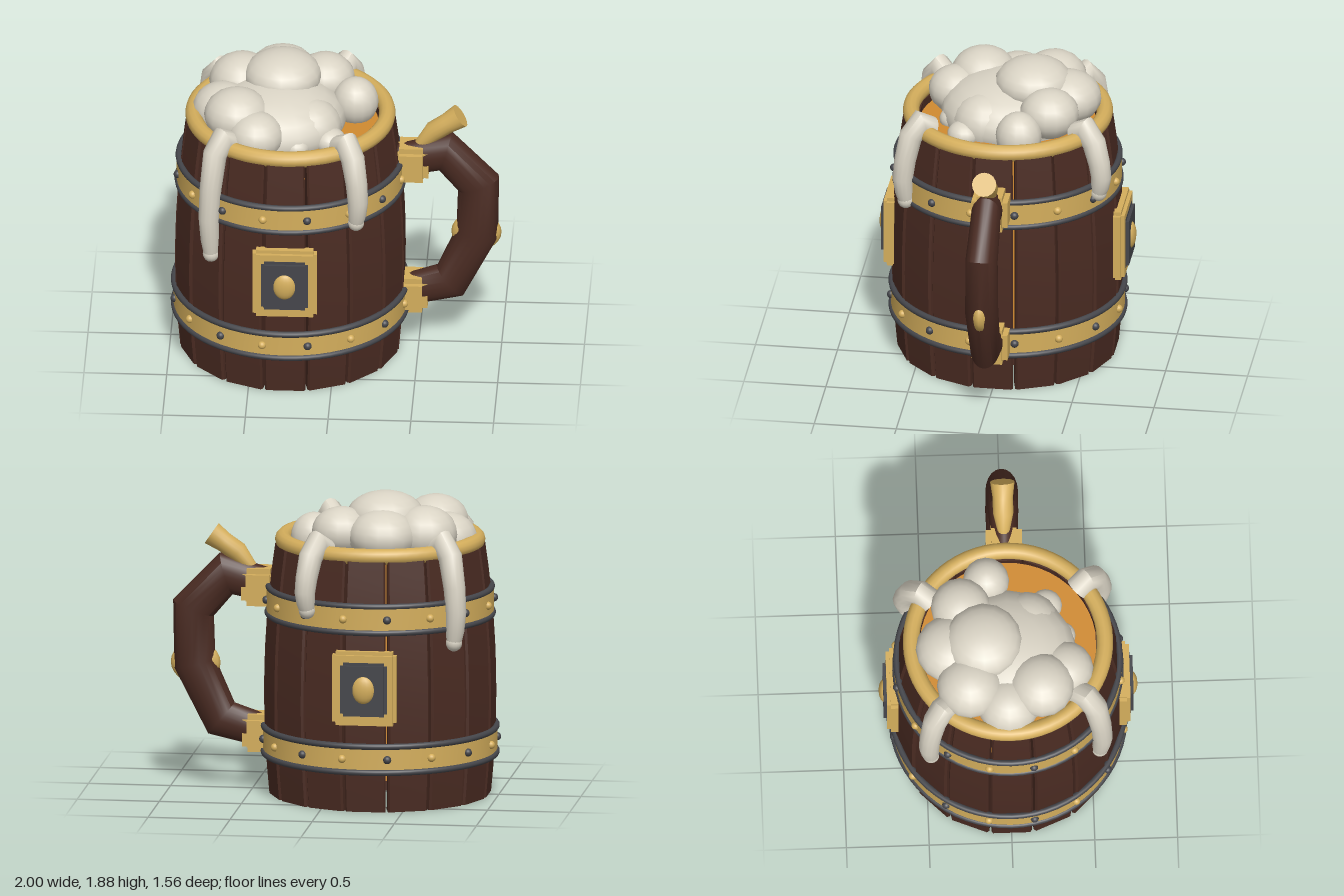
import * as THREE from 'three';
import { toCreasedNormals } from 'three/addons/utils/BufferGeometryUtils.js';

const material = (name, color, extra = {}) => {
  const m = new THREE.MeshStandardMaterial({ color, ...extra });
  m.name = name;
  return m;
};

// Outer radius of the barrel at height y
const barrelRadius = (y) => 0.66 + 0.1005 * y - 0.0806 * y * y;

// Mitred tube along points [x, y, inPlaneRadius, sideRadius] in the XY plane
function loft(points, sides = 18, crease = 0.6) {
  const pos = [], index = [];
  const dir = (a, b) => new THREE.Vector2(b[0] - a[0], b[1] - a[1]).normalize();
  const last = points.length - 1;
  points.forEach((p, i) => {
    const before = dir(points[Math.max(i - 1, 0)], points[Math.max(i, 1)]);
    const after = dir(points[Math.min(i, last - 1)], points[Math.min(i + 1, last)]);
    const t = before.clone().add(after).normalize();
    const miter = 1 / t.dot(before);
    for (let j = 0; j < sides; j++) {
      const a = (j / sides) * Math.PI * 2;
      const n = Math.cos(a) * p[2] * miter;
      pos.push(p[0] - t.y * n, p[1] + t.x * n, Math.sin(a) * (p[3] ?? p[2]));
    }
  });
  pos.push(points[0][0], points[0][1], 0, points[last][0], points[last][1], 0);
  const start = points.length * sides;
  for (let j = 0; j < sides; j++) {
    const k = (j + 1) % sides;
    for (let i = 0; i < last; i++) {
      const a = i * sides, b = a + sides;
      index.push(a + j, a + k, b + k, a + j, b + k, b + j);
    }
    index.push(start, k, j, start + 1, last * sides + j, last * sides + k);
  }
  const g = new THREE.BufferGeometry();
  g.setAttribute('position', new THREE.Float32BufferAttribute(pos, 3));
  g.setIndex(index);
  return toCreasedNormals(g, crease);
}

// One plank: chamfered section, bulged to follow the barrel
function staveGeometry() {
  const R = 0.69, inner = 0.585, c = 0.014;
  const half = (r) => r * Math.tan(Math.PI / 16) - 0.006;
  const w = half(R), v = half(inner);
  const shape = new THREE.Shape([
    [-v, inner], [v, inner], [w - 0.004, R - c], [w - c, R], [c - w, R], [0.004 - w, R - c],
  ].map(([x, y]) => new THREE.Vector2(x, y)));
  const g = new THREE.ExtrudeGeometry(shape, { depth: 1.53, steps: 10, bevelEnabled: false });
  g.rotateX(-Math.PI / 2);
  const p = g.attributes.position;
  for (let i = 0; i < p.count; i++) {
    const s = barrelRadius(p.getY(i)) / R;
    p.setX(i, p.getX(i) * s);
    p.setZ(i, p.getZ(i) * s);
  }
  return toCreasedNormals(g, 0.3);
}

export function createModel() {
  const wood = material('dark wood', 0x4a2b22);
  const gold = material('gold', 0xd4ae5c);
  const iron = material('iron', 0x45464b);
  const foam = material('foam', 0xdad4c5);
  const ale = material('ale', 0xd08a30);

  const model = new THREE.Group();
  const mug = new THREE.Group();
  mug.name = 'mug';
  mug.position.x = -0.277;
  model.add(mug);

  const add = (parent, name, geometry, mat, x = 0, y = 0, z = 0) => {
    const m = new THREE.Mesh(geometry, mat);
    m.name = name;
    m.position.set(x, y, z);
    parent.add(m);
    return m;
  };
  const ball = new THREE.SphereGeometry(1, 16, 12);
  const ellipsoid = (parent, name, mat, [x, y, z], [rx, ry, rz]) =>
    add(parent, name, ball, mat, x, y, z).scale.set(rx, ry, rz);
  // Block with stepped edges
  const steppedBlock = (parent, name, mat, [x, y, z], [w, h, d], b) => {
    const e = 2 * b;
    [[w, h - e, d - e], [w - e, h, d - e], [w - e, h - e, d]].forEach((s) =>
      add(parent, name, new THREE.BoxGeometry(...s), mat, x, y, z));
  };
  const ring = (name, mat, radius, tube, y) =>
    add(mug, name, new THREE.TorusGeometry(radius, tube, 12, 64).rotateX(Math.PI / 2), mat, 0, y, 0);

  // Barrel staves, floor and drink
  const stave = staveGeometry();
  for (let i = 0; i < 16; i++) add(mug, 'stave', stave, wood).rotation.y = (i * Math.PI) / 8;
  add(mug, 'floor', new THREE.CylinderGeometry(0.565, 0.565, 0.05, 48), wood, 0, 0.14, 0);
  add(mug, 'drink', new THREE.CylinderGeometry(0.535, 0.555, 1.31, 48), ale, 0, 0.825, 0);
  ring('rim', gold, 0.585, 0.05, 1.555);

  // Hoops with alternating rivets
  [
    { y: 0.33, h: 0.15, r: 0.707, low: 0.703, high: 0.703 },
    { y: 1.185, h: 0.15, r: 0.688, low: 0.68, high: 0.674 },
  ].forEach(({ y, h, r, low, high }) => {
    add(mug, 'hoop', new THREE.LatheGeometry([
      [r - 0.05, -h / 2], [r, -h / 2], [r, h / 2], [r - 0.05, h / 2],
    ].map(([a, b]) => new THREE.Vector2(a, b)), 64), gold, 0, y, 0).geometry =
      toCreasedNormals(new THREE.CylinderGeometry(r, r, h, 64, 1, true), 0.5);
    ring('hoop edge', iron, low, 0.019, y - 0.08);
    ring('hoop edge', iron, high, 0.019, y + 0.08);
    for (let i = 0; i < 16; i++) {
      const a = ((i + 0.5) * Math.PI) / 8;
      ellipsoid(mug, 'rivet', i % 2 ? gold : iron,
        [Math.sin(a) * r, y, Math.cos(a) * r], [0.025, 0.025, 0.025]);
    }
  });

  // Plaques on front and back
  for (const turn of [0, Math.PI]) {
    const plaque = new THREE.Group();
    plaque.name = 'plaque';
    plaque.rotation.y = turn;
    mug.add(plaque);
    steppedBlock(plaque, 'plaque plate', gold, [0, 0.768, 0.69], [0.39, 0.455, 0.09], 0.022);
    steppedBlock(plaque, 'plaque inlay', iron, [0, 0.766, 0.725], [0.285, 0.33, 0.06], 0.018);
    ellipsoid(plaque, 'plaque boss', gold, [0, 0.766, 0.745], [0.07, 0.087, 0.037]);
  }

  // Handle, brackets, gem and thumb lever
  add(model, 'handle', loft([
    [0.38, 1.245, 0.105, 0.07], [0.66, 1.315, 0.115, 0.09], [0.86, 1.1, 0.123, 0.098],
    [0.852, 0.76, 0.126, 0.1], [0.69, 0.425, 0.115, 0.09], [0.4, 0.345, 0.1, 0.075],
  ], 20), wood);
  steppedBlock(model, 'handle bracket', gold, [0.455, 1.247, 0], [0.21, 0.23, 0.22], 0.033);
  steppedBlock(model, 'handle bracket', gold, [0.45, 0.35, 0], [0.21, 0.23, 0.22], 0.033);
  ellipsoid(model, 'handle stud', gold, [0.847, 0.765, 0], [0.152, 0.13, 0.065]);
  add(model, 'thumb lever', loft([
    [0.5, 1.35, 0.035], [0.59, 1.45, 0.062], [0.67, 1.505, 0.062], [0.75, 1.56, 0.074],
  ], 16, 0.9), gold);

  // Foam heap: x, y, z, horizontal radius, vertical radius
  [
    [-0.36, 1.52, 0, 0.42, 0.24], [-0.33, 1.73, -0.15, 0.235, 0.15],
    [-0.34, 1.64, -0.35, 0.21, 0.16], [-0.58, 1.64, -0.24, 0.2, 0.17],
    [-0.08, 1.65, -0.28, 0.18, 0.15], [0.11, 1.58, -0.12, 0.14, 0.15],
    [-0.68, 1.57, -0.01, 0.19, 0.16], [-0.59, 1.64, 0.19, 0.2, 0.16],
    [-0.47, 1.58, 0.34, 0.17, 0.145], [-0.16, 1.53, 0.12, 0.2, 0.18],
    [-0.03, 1.5, 0.235, 0.1, 0.08], [-0.225, 1.5, 0.33, 0.08, 0.07],
  ].forEach(([x, y, z, r, h]) => ellipsoid(model, 'foam puff', foam, [x, y, z], [r, h, r]));

  // Foam drips over the rim: direction in degrees from the front, end height
  [[-40, 0.87], [37, 1.12], [149, 1.22], [227, 1.02]].forEach(([deg, end]) => {
    const drip = new THREE.Group();
    drip.name = 'foam drip';
    drip.rotation.y = THREE.MathUtils.degToRad(deg - 90);
    mug.add(drip);
    const fall = 1.5 - end;
    add(drip, 'drip stream', loft([
      [0.53, 1.57, 0.065, 0.075], [0.605, 1.61, 0.07, 0.075], [0.67, 1.54, 0.07, 0.073],
      [0.71, 1.5 - fall * 0.3, 0.066], [0.725, 1.5 - fall * 0.6, 0.062],
      [0.715, 1.5 - fall * 0.85, 0.056], [0.705, end, 0.045],
    ], 14, 1.1), foam);
    ellipsoid(drip, 'drip tip', foam, [0.705, end, 0], [0.05, 0.052, 0.05]);
  });

  return model;
}
